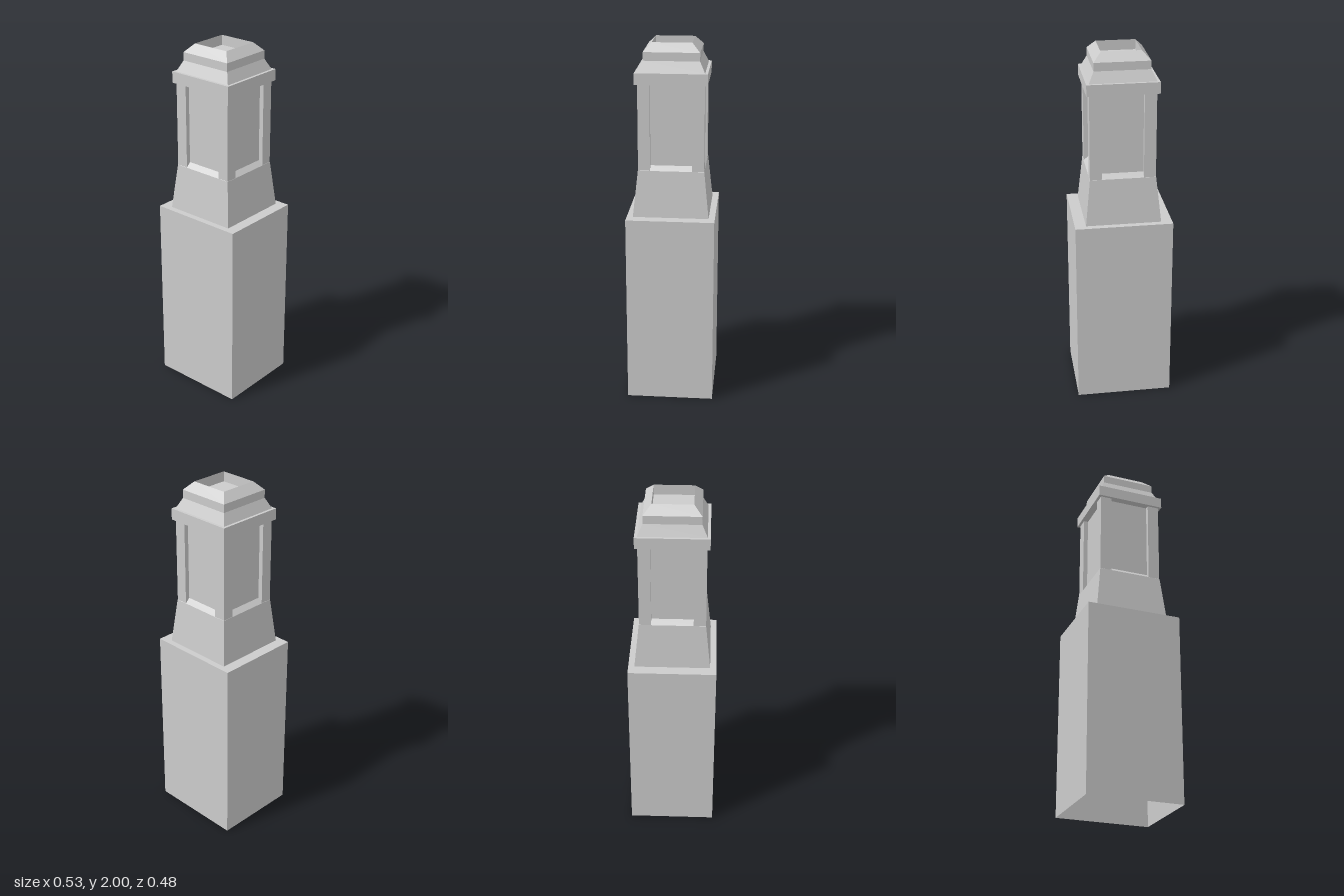
import * as THREE from 'three';

const material = new THREE.MeshStandardMaterial({
  color: 0xcccccc, flatShading: true, side: THREE.DoubleSide,
});

// Square-section shell from a profile of [half width, height] pairs, bottom to top
function squareShell(name, profile) {
  const points = profile.map(([half, y]) => new THREE.Vector2(half * Math.SQRT2, y));
  const geometry = new THREE.LatheGeometry(points, 4, Math.PI / 4).toNonIndexed();
  geometry.computeVertexNormals();
  const mesh = new THREE.Mesh(geometry, material);
  mesh.name = name;
  return mesh;
}

export function createModel() {
  const group = new THREE.Group();
  group.name = 'chimney';

  // Rectangular plinth, open underneath
  const base = squareShell('base', [[1, 0], [1, 1.065], [0.5, 1.065]]);
  base.scale.set(0.267, 1, 0.24);
  group.add(base);

  // Open shaft inside the plinth, rising into the tapered foot and sloped sill
  group.add(squareShell('taperedFoot', [
    [0.206, 0.15], [0.206, 1.065], [0.179, 1.32], [0.153, 1.345],
  ]));

  // Recessed panels between the corner posts
  group.add(squareShell('panels', [[0.153, 1.345], [0.153, 1.79]]));

  // Four corner posts
  const postGeometry = new THREE.BoxGeometry(0.065, 0.47, 0.065);
  for (const x of [-1, 1]) {
    for (const z of [-1, 1]) {
      const post = new THREE.Mesh(postGeometry, material);
      post.name = 'cornerPost';
      post.position.set(x * 0.1455, 1.555, z * 0.1455);
      group.add(post);
    }
  }

  // Projecting cornice band
  group.add(squareShell('cornice', [
    [0.153, 1.79], [0.193, 1.79], [0.193, 1.852], [0.178, 1.852],
  ]));

  // Stepped cap with a square pit in the top
  group.add(squareShell('cap', [
    [0.178, 1.852], [0.15, 1.91], [0.15, 1.955], [0.107, 2],
    [0.107, 1.945], [0, 1.945],
  ]));

  return group;
}
